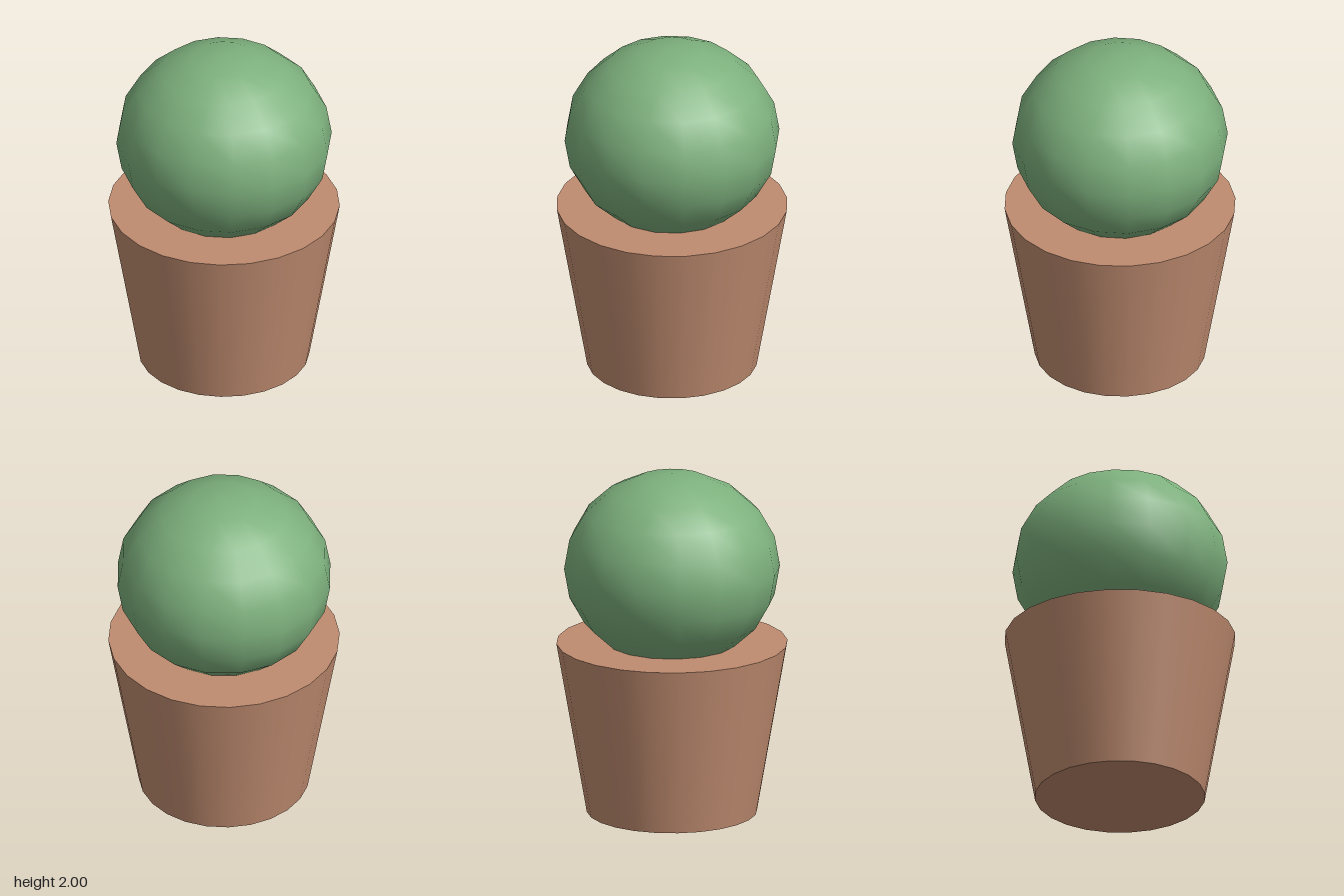
import * as THREE from 'three';

export function createModel() {
  const model = new THREE.Group();

  const add = (name, geometry, color, y) => {
    const mesh = new THREE.Mesh(geometry, new THREE.MeshStandardMaterial({ color }));
    mesh.name = name;
    mesh.position.y = y;
    model.add(mesh);
    return mesh;
  };

  // Tapered pot, closed at top and bottom
  add('pot', new THREE.CylinderGeometry(0.662, 0.488, 1, 24), 0xc08c70, 0.5);

  // Slightly flattened ball of foliage, sunk into the pot
  const foliage = add('foliage', new THREE.SphereGeometry(0.618, 16, 10), 0x7db07d, 1.444);
  foliage.scale.y = 0.9;

  return model;
}
